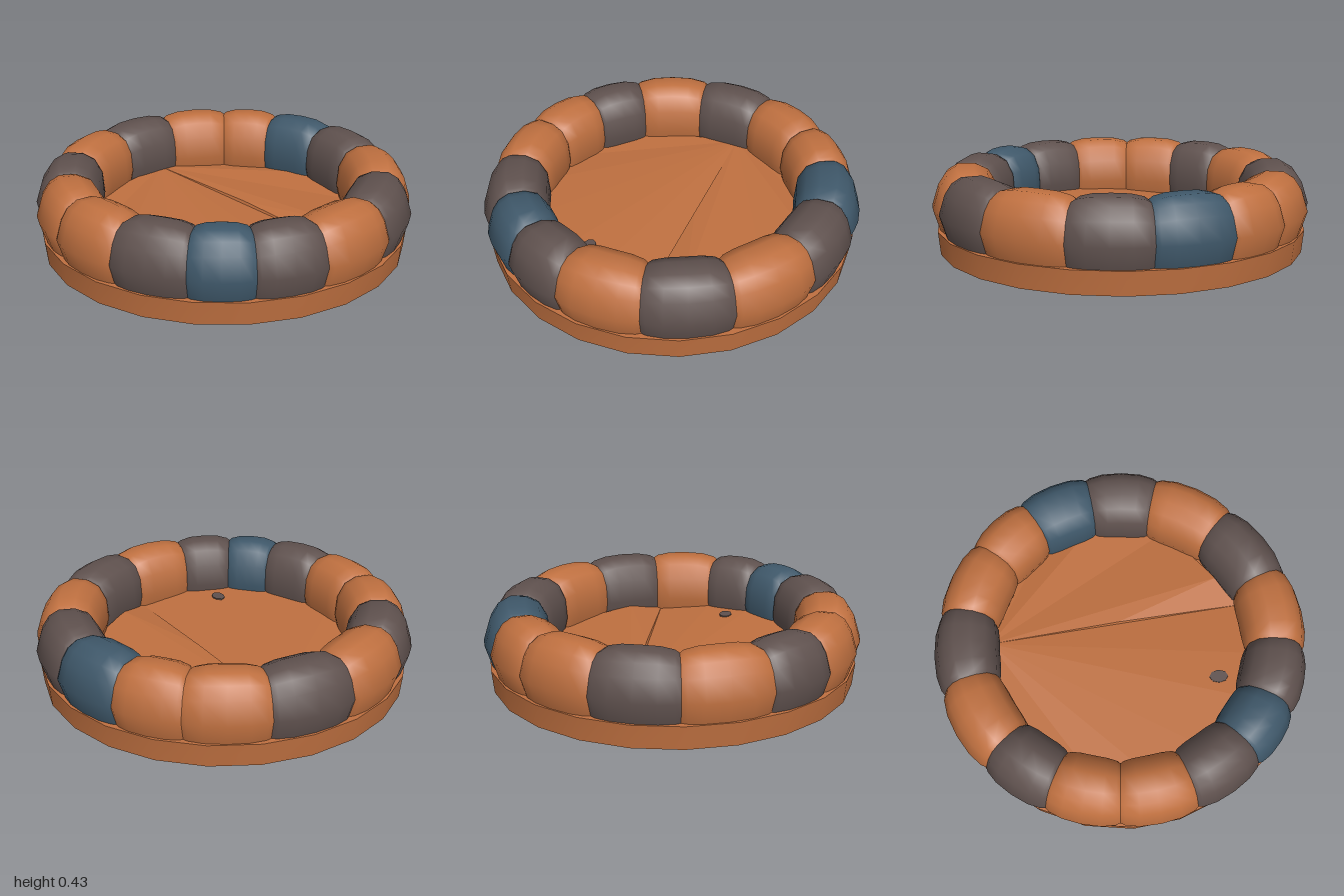
import * as THREE from 'three';
import { toCreasedNormals } from 'three/addons/utils/BufferGeometryUtils.js';

const material = (name, color) => {
  const m = new THREE.MeshStandardMaterial({ color });
  m.name = name;
  return m;
};

// Stone cross-section as [radius, height], from inner foot over the top to outer foot
const PROFILE = [
  [0.67, 0.1], [0.645, 0.2], [0.655, 0.32], [0.7, 0.4], [0.77, 0.432],
  [0.86, 0.432], [0.915, 0.4], [0.955, 0.34], [0.99, 0.23], [0.95, 0.1],
];
// Position along the stone and size of the section there
const SECTIONS = [[-1, 0.83], [-0.85, 0.92], [-0.5, 0.985], [0, 1], [0.5, 0.985], [0.85, 0.92], [1, 0.83]];

// Pillow-shaped stone between two angles (degrees from +x towards +z)
function stoneGeometry(from, to) {
  const mid = (from + to) / 2, half = (to - from) / 2;
  const n = PROFILE.length, pos = [], index = [];
  for (const [u, s] of SECTIONS) {
    const a = THREE.MathUtils.degToRad(mid + u * half);
    for (const [r, y] of PROFILE) {
      const rr = 0.82 + (r - 0.82) * s, yy = 0.22 + (y - 0.22) * s;
      pos.push(rr * Math.cos(a), yy, rr * Math.sin(a));
    }
  }
  for (let i = 0; i < SECTIONS.length - 1; i++) {
    for (let j = 0; j < n; j++) {
      const a = i * n + j, b = i * n + ((j + 1) % n);
      index.push(a, a + n, b, b, a + n, b + n);
    }
  }
  // end caps
  const last = (SECTIONS.length - 1) * n;
  for (let j = 1; j < n - 1; j++) {
    index.push(0, j, j + 1, last, last + j + 1, last + j);
  }
  const g = new THREE.BufferGeometry();
  g.setAttribute('position', new THREE.Float32BufferAttribute(pos, 3));
  g.setIndex(index);
  return toCreasedNormals(g, 0.8);
}

// Uneven floor: facets fanning out from one point on the left rim
function floorGeometry() {
  const west = [-0.7, 0.16, -0.06];
  const rim = [
    [-0.62, 0.14, -0.36], [-0.42, 0.13, -0.58], [-0.12, 0.15, -0.72], [0.3, 0.13, -0.68],
    [0.55, 0.17, -0.36], [0, 0.16, -0.14], [0.72, 0.13, -0.21], [0.72, 0.16, 0.09],
    [0.66, 0.17, 0.34], [0.42, 0.16, 0.6], [0.1, 0.15, 0.71], [-0.2, 0.13, 0.69], [-0.58, 0.15, 0.42],
  ];
  const pos = [];
  for (let i = 0; i < rim.length - 1; i++) pos.push(...west, ...rim[i + 1], ...rim[i]);
  pos.push(...rim[5], ...rim[6], ...rim[4]); // small fold beside the strip
  const g = new THREE.BufferGeometry();
  g.setAttribute('position', new THREE.Float32BufferAttribute(pos, 3));
  g.computeVertexNormals();
  return g;
}

export function createModel() {
  const group = new THREE.Group();
  const clay = material('orange clay', 0xbf7040);
  const grey = material('brown grey stone', 0x5f514e);
  const blue = material('slate blue stone', 0x3f586a);
  const add = (name, geometry, mat) => {
    const mesh = new THREE.Mesh(geometry, mat);
    mesh.name = name;
    group.add(mesh);
    return mesh;
  };

  // Base slab
  const base = toCreasedNormals(new THREE.CylinderGeometry(0.97, 0.958, 0.12, 24), 0.6);
  add('base', base, clay).position.y = 0.06;
  add('floor', floorGeometry(), clay);

  // Mortar filling the gaps between stones
  const core = [[0.69, 0.1], [0.69, 0.3], [0.75, 0.37], [0.88, 0.37], [0.935, 0.28], [0.935, 0.1]]
    .map(([r, y]) => new THREE.Vector2(r, y)).reverse();
  const coreMaterialMesh = add('mortarRing', new THREE.LatheGeometry(core.reverse(), 30), clay);
  coreMaterialMesh.geometry.index.array.reverse(); // surface faces outward
  coreMaterialMesh.geometry.computeVertexNormals();

  // Ring of stones: start angle and colour, each ending where the next begins
  const stones = [
    [-168, clay], [-143, clay], [-122, blue], [-98, grey], [-73.5, clay],
    [-46, grey], [-19, clay], [7, grey], [28, blue], [47, grey],
    [70, clay], [94, clay], [117, grey], [139, clay], [166, grey],
  ];
  stones.forEach(([start, mat], i) => {
    const end = i + 1 < stones.length ? stones[i + 1][0] : stones[0][0] + 360;
    add('stone' + (i + 1), stoneGeometry(start - 0.5, end + 0.5), mat);
  });

  // Small pebble in the floor
  const pebble = add('pebble', new THREE.CylinderGeometry(0.05, 0.05, 0.02, 8), grey);
  pebble.position.set(0.51, 0.162, 0.21);
  pebble.scale.z = 0.7;
  return group;
}
